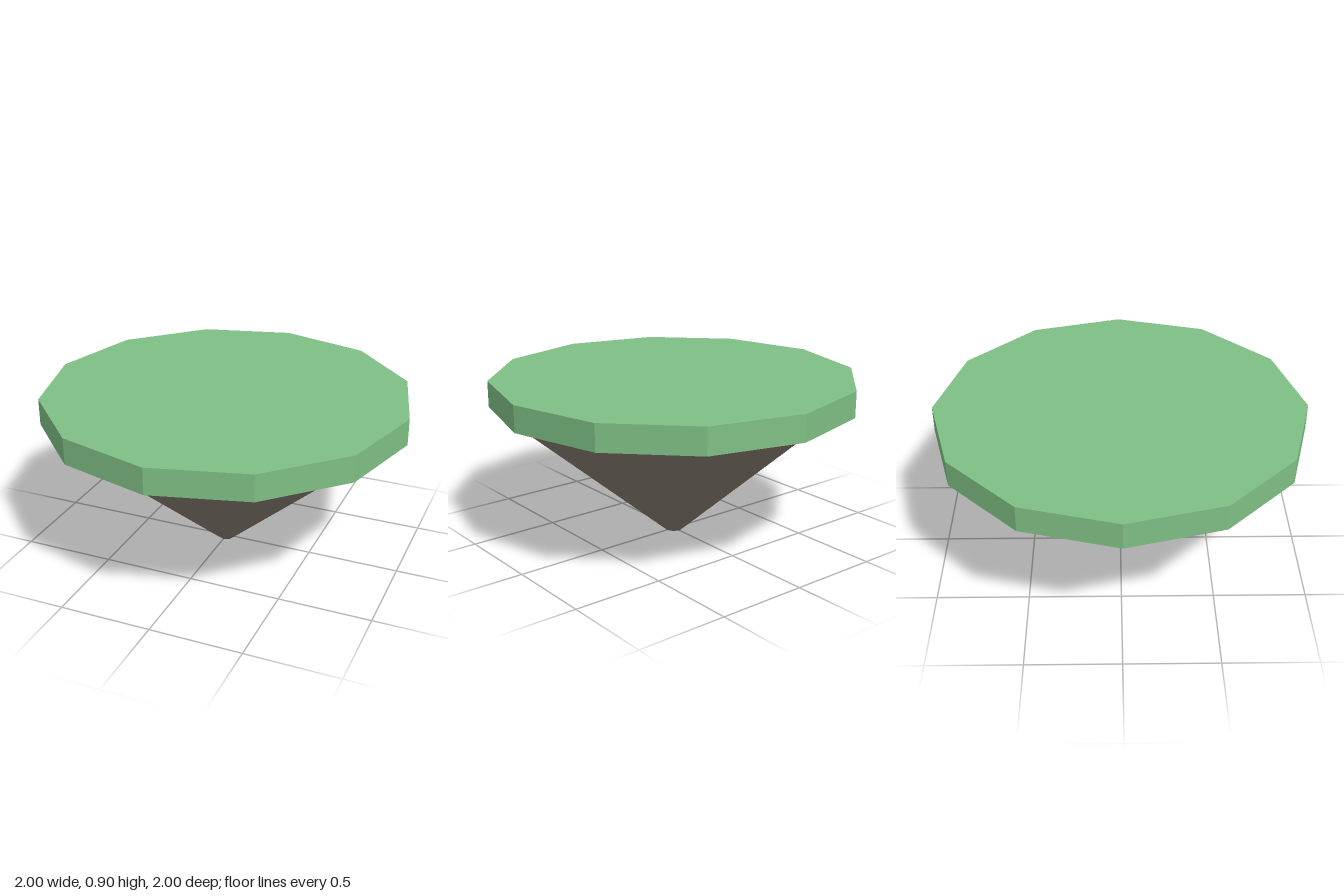
import * as THREE from 'three';

export function createModel() {
  const model = new THREE.Group();
  model.name = 'floatingIsland';

  const grass = new THREE.MeshStandardMaterial({ color: 0x7fbf84 });
  grass.name = 'grass green';
  const rock = new THREE.MeshStandardMaterial({ color: 0x857a70 });
  rock.name = 'rock brown';

  // Faceted frustum standing between two heights
  function addFrustum(name, rTop, rBottom, yBottom, yTop, sides, material) {
    const geometry = new THREE.CylinderGeometry(rTop, rBottom, yTop - yBottom, sides).toNonIndexed();
    geometry.computeVertexNormals(); // flat facets
    const mesh = new THREE.Mesh(geometry, material);
    mesh.name = name;
    mesh.position.y = (yBottom + yTop) / 2;
    model.add(mesh);
  }

  // Twelve-sided grass slab on an eight-sided rock taper
  addFrustum('grassSlab', 1, 1, 0.757, 0.9, 12, grass);
  addFrustum('rockBase', 0.95, 0.05, 0, 0.757, 8, rock);

  // The rock's hidden top sits just inside the slab
  const base = model.getObjectByName('rockBase');
  base.scale.y = 1.002;

  return model;
}
